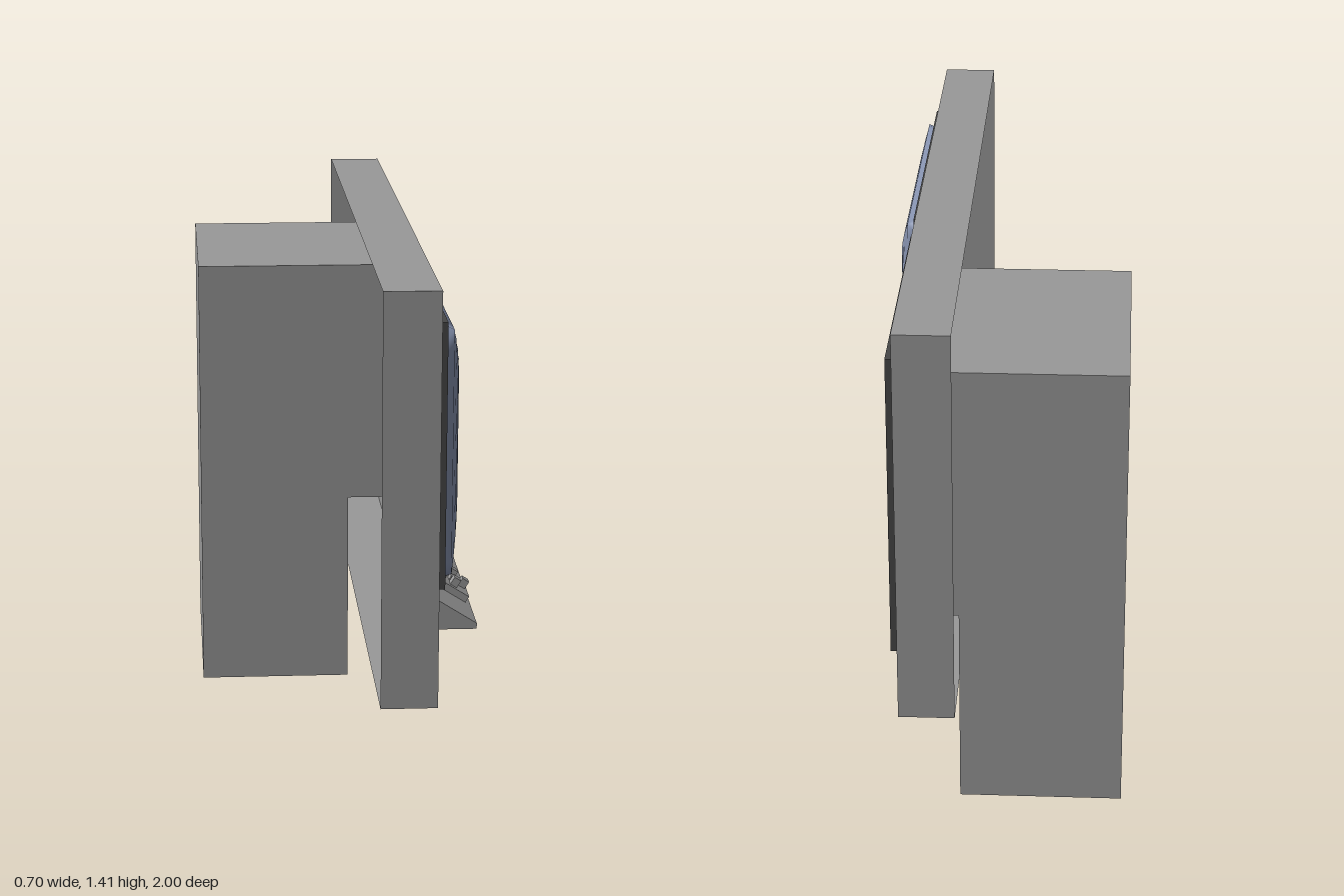
import * as THREE from 'three';

const flat = (name, color, side = THREE.FrontSide) => {
  const m = new THREE.MeshStandardMaterial({ color, side });
  m.name = name;
  return m;
};

// Outline of a rectangle given by z and y limits, drawn on a plane facing +x
function rectPoints(z0, z1, y0, y1) {
  return [[-z1, y0], [-z0, y0], [-z0, y1], [-z1, y1]].map(([a, b]) => new THREE.Vector2(a, b));
}

function ringShape(outer, inner) {
  const shape = new THREE.Shape(rectPoints(...outer));
  if (inner) shape.holes.push(new THREE.Path(rectPoints(...inner)));
  return shape;
}

export function createModel() {
  const root = new THREE.Group();
  root.name = 'wallConsole';
  const grey = flat('casing grey', 0x999999, THREE.DoubleSide);
  const dark = flat('frame charcoal', 0x474747);
  const blue = flat('screen blue grey', 0x8793b0);

  const add = (name, geometry, material, parent = root) => {
    const mesh = new THREE.Mesh(geometry, material);
    mesh.name = name;
    parent.add(mesh);
    return mesh;
  };
  const box = (name, x0, x1, y0, y1, z0, z1, material) =>
    add(name, new THREE.BoxGeometry(x1 - x0, y1 - y0, z1 - z0), material)
      .position.set((x0 + x1) / 2, (y0 + y1) / 2, (z0 + z1) / 2);
  // Extrudes a z/y ring from x0 to x1
  const ring = (name, outer, inner, x0, x1, material) => {
    const g = new THREE.ExtrudeGeometry(ringShape(outer, inner), { depth: x1 - x0, bevelEnabled: false });
    add(name, g.rotateY(Math.PI / 2).translate(x0, 0, 0), material);
  };
  // Thin sheets facing along y or x
  const sheetY = (name, x0, x1, y, z0, z1) => {
    const g = new THREE.PlaneGeometry(x1 - x0, z1 - z0).rotateX(-Math.PI / 2);
    add(name, g.translate((x0 + x1) / 2, y, (z0 + z1) / 2), grey);
  };
  const sheetX = (name, x, y0, y1, z0, z1) => {
    const g = new THREE.PlaneGeometry(z1 - z0, y1 - y0).rotateY(-Math.PI / 2);
    add(name, g.translate(x, (y0 + y1) / 2, (z0 + z1) / 2), grey);
  };

  // Front panel: a shallow tray, open at the back
  const opening = [-0.82, -0.19, 0.56, 1.205];
  add('panelFace', new THREE.ShapeGeometry(ringShape([-1, 1, 0.34, 1.41], opening))
    .rotateY(Math.PI / 2).translate(0.225, 0, 0), grey);
  sheetY('panelTop', 0.08, 0.225, 1.41, -1, 1);
  sheetY('panelBottom', 0.08, 0.225, 0.34, -1, 1);
  for (const z of [-1, 1]) {
    add('panelEnd', new THREE.PlaneGeometry(0.145, 1.07).translate(0.1525, 0.875, z), grey);
  }

  // Hollow cabinet behind the opening, stepped back below the panel
  const profile = new THREE.Shape([[-0.35, 0], [0.078, 0], [0.078, 0.55], [0.224, 0.55], [0.224, 1.24], [-0.35, 1.24]]
    .map(([x, y]) => new THREE.Vector2(x, y)));
  const zBack = -0.84, zFront = -0.17;
  for (const z of [zBack, zFront]) add('cabinetSide', new THREE.ShapeGeometry(profile).translate(0, 0, z), grey);
  sheetY('cabinetTop', -0.35, 0.224, 1.24, zBack, zFront);
  sheetY('cabinetBottom', -0.35, 0.078, 0, zBack, zFront);
  sheetY('cabinetStep', 0.078, 0.224, 0.55, zBack, zFront);
  sheetX('cabinetRear', -0.35, 0, 1.24, zBack, zFront);
  sheetX('cabinetFront', 0.078, 0, 0.55, zBack, zFront);

  // Dark surround and lining of the opening
  ring('openingFrame', [-0.9, -0.1, 0.475, 1.3], opening, 0.226, 0.25, dark);
  ring('openingLining', [-0.828, -0.182, 0.552, 1.213], opening, 0.075, 0.226, dark);

  // Screen surround and domed screen made of concentric rectangles
  box('screenFrame', 0.19, 0.25, 0.62, 1.31, 0, 0.9, dark);
  const n = 10;
  const dome = new THREE.PlaneGeometry(2, 2, 2 * n, 2 * n);
  const p = dome.attributes.position;
  for (let i = 0; i < p.count; i++) {
    const u = p.getX(i), v = p.getY(i);
    const m = Math.max(Math.abs(u), Math.abs(v));
    const k = Math.round(m * n);
    const s = k === n ? 1 : k / (n - 1) * 0.985;
    const f = m > 0 ? s / m : 0;
    const x = k === n ? 0.249 : 0.27 + 0.047 * (1 - (k / (n - 1)) ** 2);
    p.setXYZ(i, x, 0.965 + v * f * 0.322, 0.448 - u * f * 0.418);
  }
  dome.computeVertexNormals();
  add('screen', dome, blue);

  // Sloped control shelf
  const wedge = new THREE.Shape([[0.225, 0.475], [0.345, 0.475], [0.345, 0.49], [0.235, 0.56], [0.225, 0.56]]
    .map(([x, y]) => new THREE.Vector2(x, y)));
  add('controlShelf', new THREE.ExtrudeGeometry(wedge, { depth: 0.7, bevelEnabled: false })
    .translate(0, 0, 0.09), grey);

  // Button pad lying on the slope
  const pad = new THREE.Group();
  pad.name = 'buttonPad';
  pad.position.set(0.291, 0.525, 0.583);
  pad.rotation.z = -Math.atan2(0.07, 0.11);
  root.add(pad);
  add('padBase', new THREE.BoxGeometry(0.095, 0.018, 0.135), grey, pad).position.y = 0.009;
  for (const [x, z] of [[-0.03, 0], [0.03, 0], [0, -0.038], [0, 0.038], [0, 0]]) {
    const h = x || z ? 0.022 : 0.012;
    add('button', new THREE.BoxGeometry(0.02, h, 0.026), grey, pad).position.set(x, 0.018 + h / 2, z);
  }
  return root;
}
